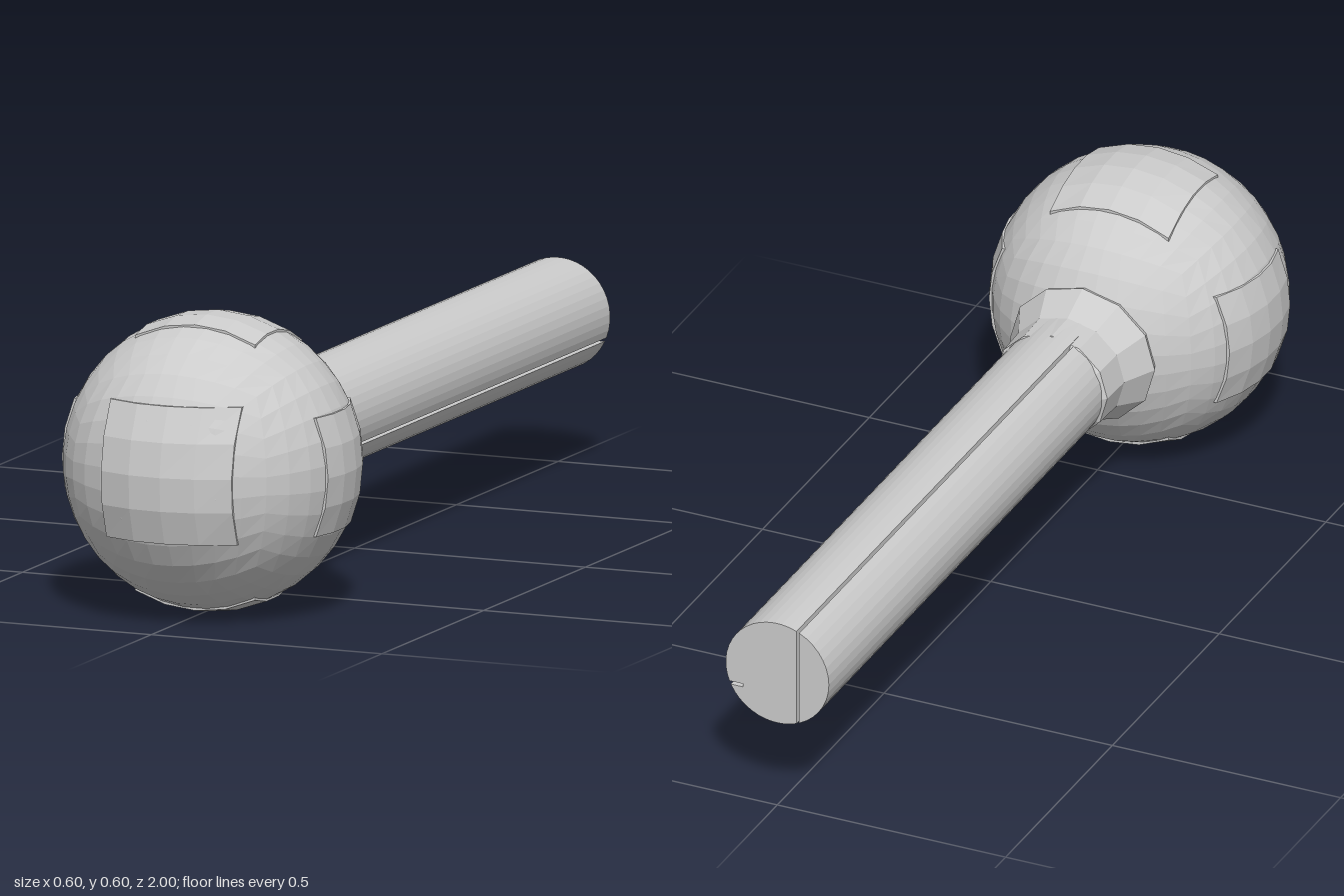
import * as THREE from 'three';

const material = new THREE.MeshStandardMaterial({ color: 0xcccccc, flatShading: true });
const CENTRE = new THREE.Vector3(0, 0.3, 0.7);
const ROD = 0.113;

function addMesh(parent, geometry, name) {
  const mesh = new THREE.Mesh(geometry, material);
  mesh.name = name;
  parent.add(mesh);
  return mesh;
}

// Move every vertex of a geometry by a rule
function reshape(geometry, rule) {
  const pos = geometry.attributes.position;
  const v = new THREE.Vector3();
  for (let i = 0; i < pos.count; i++) {
    rule(v.fromBufferAttribute(pos, i));
    pos.setXYZ(i, v.x, v.y, v.z);
  }
  geometry.computeVertexNormals();
  return geometry;
}

// Faceted ball: a subdivided cube pushed out to a sphere
function ballGeometry(radius) {
  return reshape(new THREE.BoxGeometry(2, 2, 2, 9, 9, 9), v => {
    v.set(...v.toArray().map(c => Math.tan(c * Math.PI / 4)));
    v.normalize().multiplyScalar(radius);
  });
}

// Raised square plate, straight-sided when seen face on, that follows the ball
function plateGeometry(w, h, dx, dy) {
  return reshape(new THREE.BoxGeometry(w, h, 2, 4, 4, 1), v => {
    v.x += dx;
    v.y += dy;
    const r = v.z > 0 ? 0.301 : 0.28;
    v.z = Math.min(0.3, Math.sqrt(r * r - v.x * v.x - v.y * v.y));
  });
}

const arc = (from, to, n) => Array.from({ length: n + 1 }, (_, i) => {
  const a = from + (to - from) * i / n;
  return new THREE.Vector2(ROD * Math.cos(a), ROD * Math.sin(a));
});

function rodPart(points) {
  return new THREE.ExtrudeGeometry(new THREE.Shape(points), { depth: 1.5, bevelEnabled: false });
}

export function createModel() {
  const model = new THREE.Group();
  model.name = 'ballEndedRod';

  // Ball with a plate on each exposed side
  const ball = new THREE.Group();
  ball.name = 'ball';
  ball.position.copy(CENTRE);
  model.add(ball);
  addMesh(ball, ballGeometry(0.297), 'ballCore');
  const plates = [
    ['frontPlate', 0, 0, 0.275, 0.275, 0.0175, 0.0175],
    ['leftPlate', 0, Math.PI / 2, 0.23, 0.24, 0.03, 0],
    ['rightPlate', 0, -Math.PI / 2, 0.23, 0.24, -0.03, 0],
    ['topPlate', -Math.PI / 2, 0, 0.26, 0.23, 0, 0.03],
    ['bottomPlate', Math.PI / 2, 0, 0.26, 0.23, 0, -0.03]
  ];
  for (const [name, rx, ry, w, h, dx, dy] of plates) {
    addMesh(ball, plateGeometry(w, h, dx, dy), name).rotation.set(rx, ry, 0);
  }

  // Rod in two parts with a narrow seam between, and a slit along the left side
  const rod = new THREE.Group();
  rod.name = 'rod';
  rod.position.set(0, 0.3, -1);
  model.add(rod);
  const seamA = Math.acos(-0.042 / ROD), seamB = Math.acos(-0.048 / ROD);
  const slitLow = Math.asin(-0.049 / ROD), slitHigh = Math.asin(-0.042 / ROD);
  addMesh(rod, rodPart([
    ...arc(slitHigh, seamA, 16),
    ...arc(-seamA, slitLow, 10),
    new THREE.Vector2(0.075, -0.049),
    new THREE.Vector2(0.075, -0.042)
  ]), 'rodMain');
  addMesh(rod, rodPart(arc(seamB, Math.PI * 2 - seamB, 14)), 'rodSide');

  // Flared collar where the rod meets the ball
  const profile = [[0.1, 0.27], [0.114, 0.285], [0.116, 0.36], [0.148, 0.43], [0.12, 0.5]]
    .map(([r, z]) => new THREE.Vector2(r, z));
  const collar = addMesh(model, new THREE.LatheGeometry(profile, 12), 'collar');
  collar.rotation.x = Math.PI / 2;
  collar.scale.x = 1.07;
  collar.position.y = 0.3;

  return model;
}
